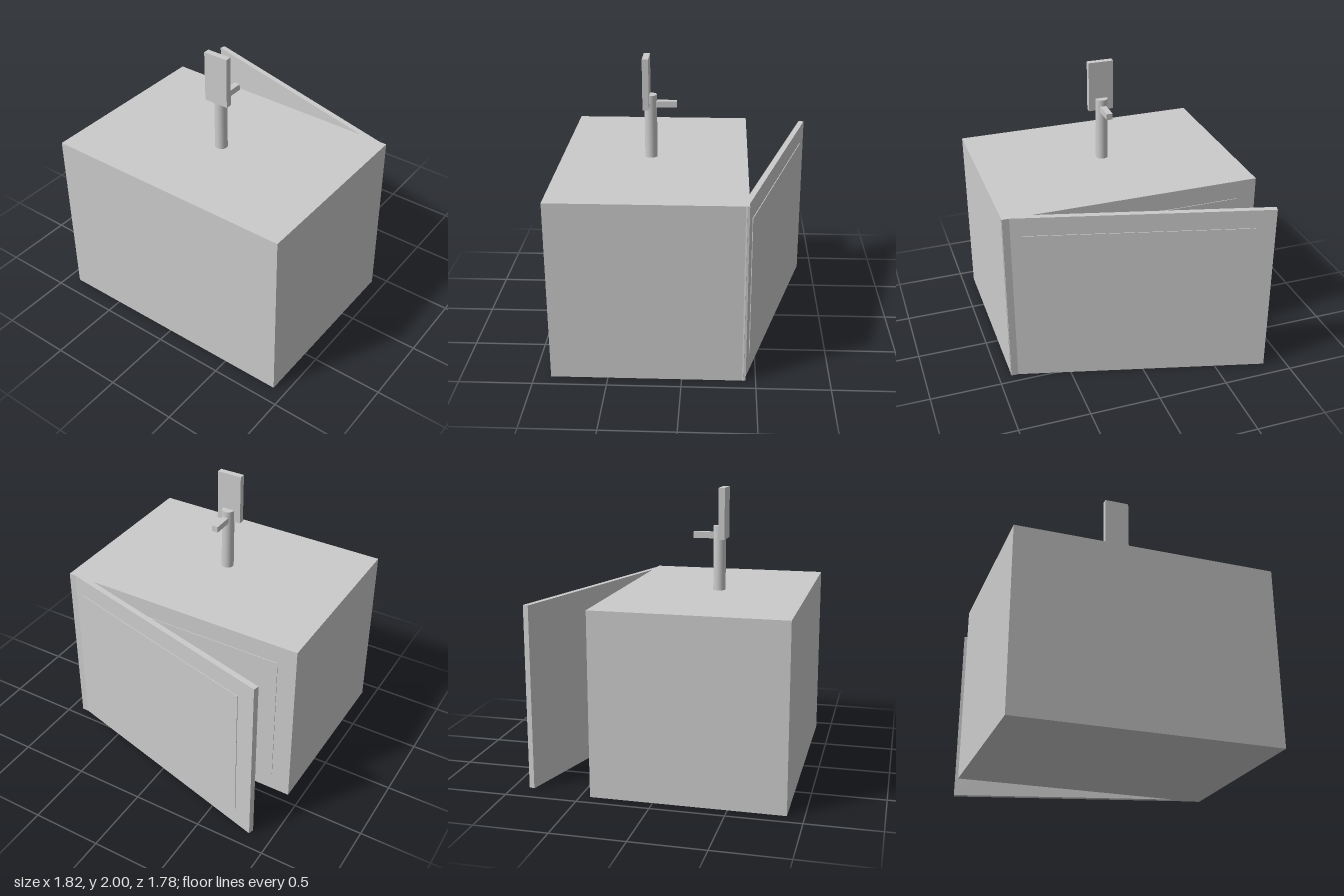
import * as THREE from 'three';

export function createModel() {
  const root = new THREE.Group();
  const grey = new THREE.MeshStandardMaterial({ color: 0xcccccc });
  const H = 1.275, W = 1.82, THICK = 0.04, LIP = 0.005;

  function add(parent, name, geometry, x, y, z) {
    const mesh = new THREE.Mesh(geometry, grey);
    mesh.name = name;
    mesh.position.set(x, y, z);
    parent.add(mesh);
    return mesh;
  }
  const box = (w, h, d) => new THREE.BoxGeometry(w, h, d);

  // Cabinet body with a thin raised panel on its back
  add(root, 'cabinetBody', box(W, H, 1.32), 0, H / 2, 0.227);
  add(root, 'backPanel', box(1.55, 1, 2 * LIP), 0, 0.64, -0.433);

  // Door standing ajar, hinged at the back left corner
  const door = new THREE.Group();
  door.name = 'door';
  door.position.set(0.913, 0, -0.419);
  door.rotation.y = -THREE.MathUtils.degToRad(15);
  root.add(door);
  add(door, 'doorSlab', box(W, H, THICK), -W / 2, H / 2, THICK / 2);
  add(door, 'doorPanel', box(1.55, 1, 2 * LIP), -W / 2, 0.64, 0);

  // Post on top, carrying an upright plate and a short bar
  add(root, 'post', new THREE.CylinderGeometry(0.044, 0.044, 0.46, 32), 0, 1.5, 0.254);
  add(root, 'plate', box(0.18, 0.36, 0.044), 0, 1.82, 0.283);
  add(root, 'bar', box(0.044, 0.044, 0.146), 0, 1.663, 0.143);

  return root;
}
